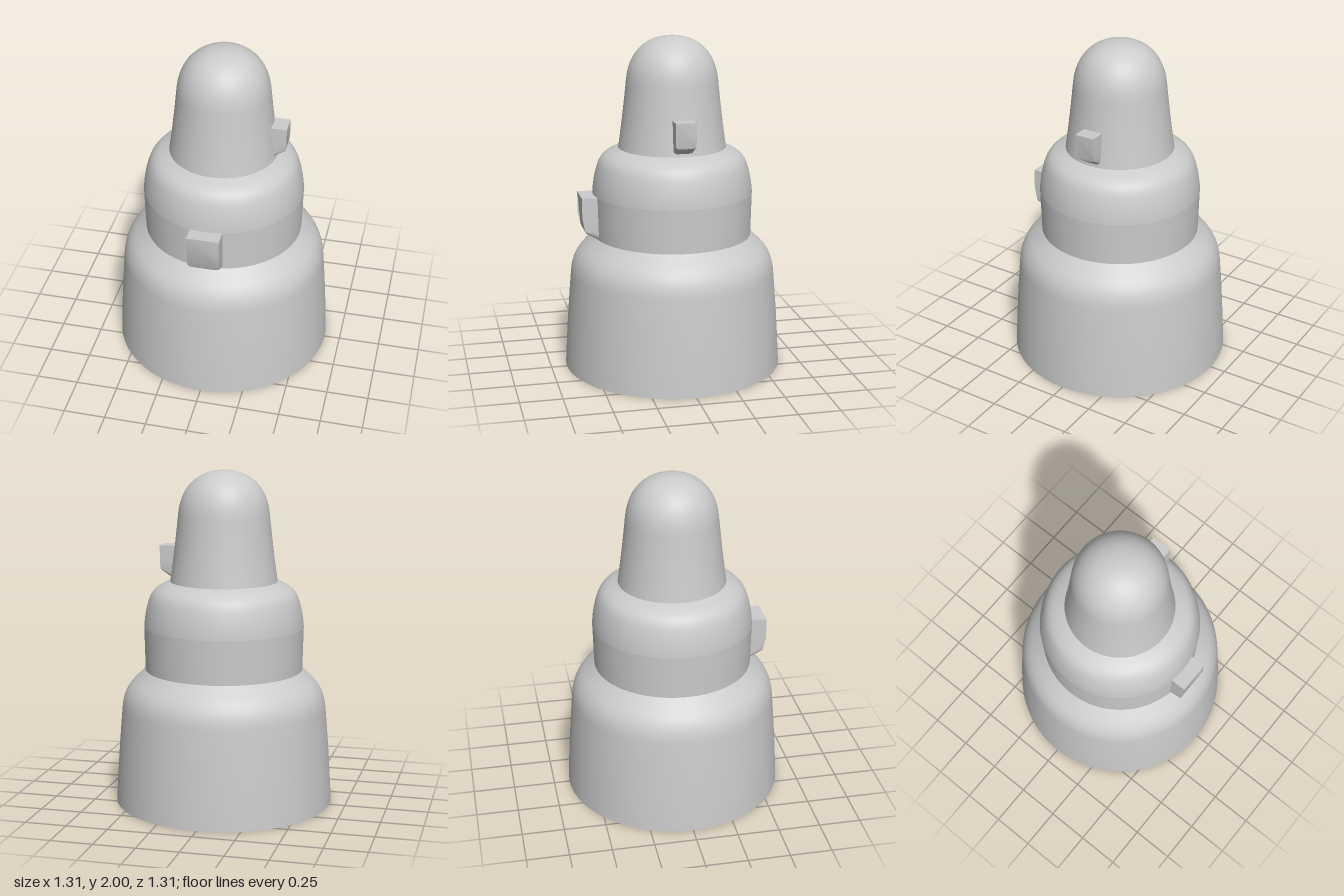
import * as THREE from 'three';
import { toCreasedNormals } from 'three/addons/utils/BufferGeometryUtils.js';

const material = new THREE.MeshStandardMaterial({ color: 0xcccccc, side: THREE.DoubleSide });

// Smooth round shell turned from a profile path (bottom to top)
function shell(name, path) {
  const mesh = new THREE.Mesh(new THREE.LatheGeometry(path.getPoints(14), 96), material);
  mesh.name = name;
  return mesh;
}

// Small tab with rounded lower corners; its outer face curves in and its underside slopes up outwards.
// Built facing +z, from z = inner to z = outer.
function tab(name, { halfWidth: w, bottom, top, inner, outer, rise, bend, radius: r }) {
  const shape = new THREE.Shape();
  const mid = bottom + (top - bottom) * 0.55;
  shape.moveTo(-w, top);
  shape.lineTo(-w, mid);
  shape.lineTo(-w, bottom + r);
  shape.quadraticCurveTo(-w, bottom, -w + r, bottom);
  shape.lineTo(w - r, bottom);
  shape.quadraticCurveTo(w, bottom, w, bottom + r);
  shape.lineTo(w, mid);
  shape.lineTo(w, top);
  const geo = new THREE.ExtrudeGeometry(shape, { depth: 1, bevelEnabled: false, curveSegments: 6 });
  const p = geo.attributes.position;
  for (let i = 0; i < p.count; i++) {
    const y = p.getY(i), t = p.getZ(i);
    const low = Math.max(0, (mid - y) / (mid - bottom));
    p.setY(i, y + rise * t * low);
    p.setZ(i, inner + t * (outer - inner - bend * low * low));
  }
  const mesh = new THREE.Mesh(toCreasedNormals(geo, 0.6), material);
  mesh.name = name;
  return mesh;
}

export function createModel() {
  const group = new THREE.Group();
  group.name = 'steppedTower';

  // Wide open-bottomed base with a rounded, sloping shoulder
  const base = new THREE.Path();
  base.moveTo(0.655, 0);
  base.quadraticCurveTo(0.64, 0.3, 0.614, 0.58);
  base.bezierCurveTo(0.605, 0.68, 0.565, 0.72, 0.53, 0.755);
  base.lineTo(0.472, 0.81);
  group.add(shell('base', base));

  // Straight collar of the middle tier
  const collar = new THREE.Path();
  collar.moveTo(0.472, 0.81);
  collar.lineTo(0.478, 1.07);
  group.add(shell('middleCollar', collar));

  // Rounded shoulder of the middle tier
  const shoulder = new THREE.Path();
  shoulder.moveTo(0.478, 1.07);
  shoulder.quadraticCurveTo(0.472, 1.16, 0.447, 1.235);
  shoulder.bezierCurveTo(0.425, 1.3, 0.385, 1.315, 0.318, 1.342);
  group.add(shell('middleShoulder', shoulder));

  // Tapered top with a domed cap
  const dome = new THREE.Path();
  dome.moveTo(0.32, 1.342);
  dome.quadraticCurveTo(0.291, 1.54, 0.27, 1.75);
  dome.bezierCurveTo(0.25, 1.92, 0.14, 2, 0, 2);
  group.add(shell('dome', dome));

  // Tab on the front of the middle tier
  group.add(tab('frontTab', {
    halfWidth: 0.095, bottom: 0.805, top: 1.07, inner: 0.455, outer: 0.56,
    rise: 0.045, bend: 0.025, radius: 0.035,
  }));

  // Tab on the left side of the top tier
  const sideTab = tab('sideTab', {
    halfWidth: 0.06, bottom: 1.335, top: 1.55, inner: 0.28, outer: 0.38,
    rise: 0.065, bend: 0.008, radius: 0.035,
  });
  sideTab.rotation.y = Math.PI / 2;
  group.add(sideTab);

  return group;
}
